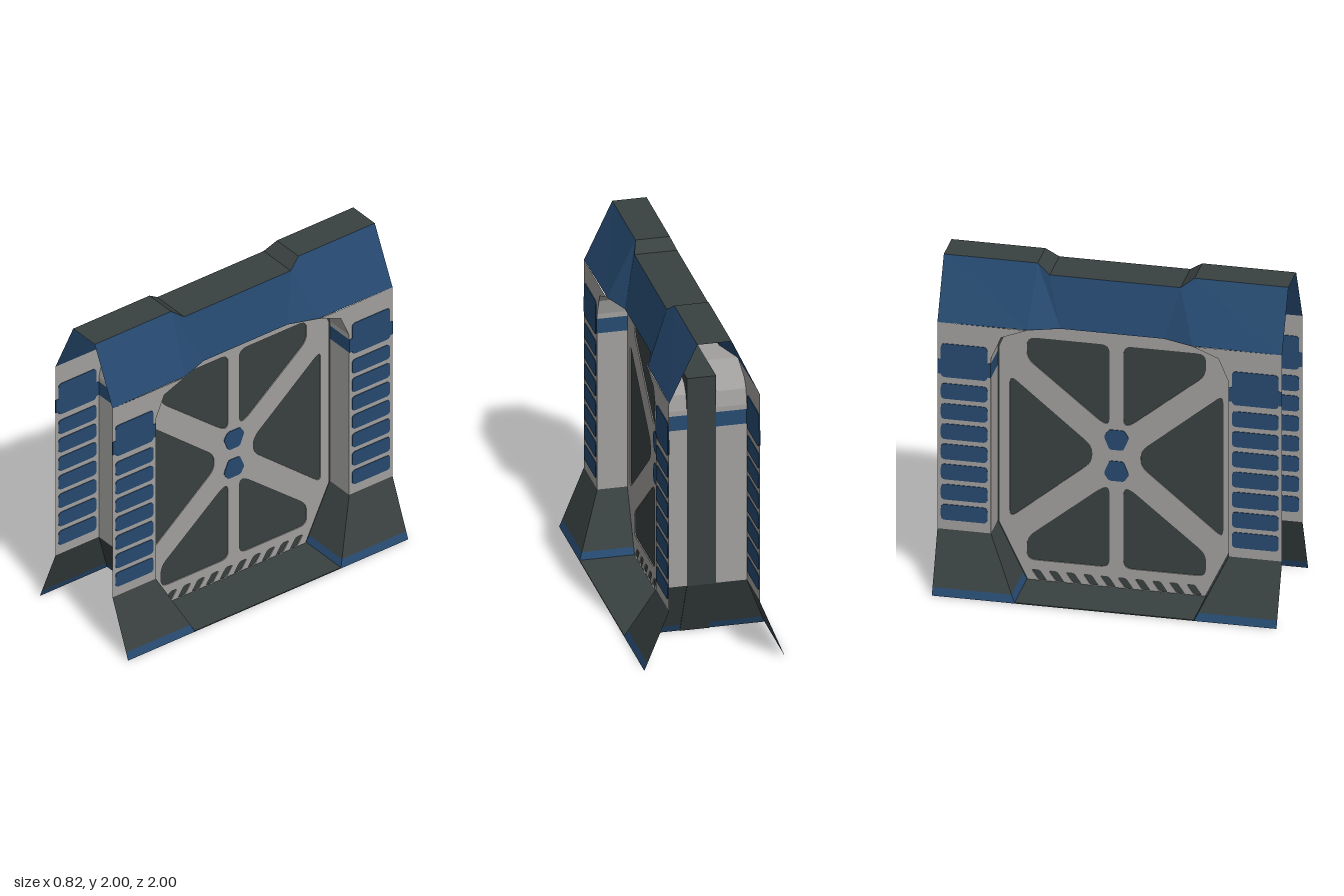
import * as THREE from 'three';

const mat = (name, color) => {
  const m = new THREE.MeshStandardMaterial({ color, side: THREE.DoubleSide, flatShading: true });
  m.name = name;
  return m;
};

// Closed outline with rounded corners
function outline(points, r = 0, PathType = THREE.Shape) {
  const path = new PathType();
  const v = points.map(([x, y]) => new THREE.Vector2(x, y));
  v.forEach((p, i) => {
    const before = v[(i + v.length - 1) % v.length], after = v[(i + 1) % v.length];
    const toward = (q) => p.clone().add(q.clone().sub(p).setLength(Math.min(r, p.distanceTo(q) * 0.45)));
    const a = r ? toward(before) : p, b = r ? toward(after) : p;
    if (i === 0) path.moveTo(a.x, a.y); else path.lineTo(a.x, a.y);
    if (r) path.quadraticCurveTo(p.x, p.y, b.x, b.y);
  });
  path.closePath();
  return path;
}

// Flat plate drawn in (z, y), with its outer face at the given x
function sidePlate(shape, x, depth) {
  const g = new THREE.ExtrudeGeometry(shape, { depth, bevelEnabled: false, curveSegments: 4 });
  return g.rotateY(-Math.PI / 2).translate(x, 0, 0);
}

// Faceted sheet between two rows of points
function sheet(a, b) {
  const pos = [];
  for (let i = 0; i < a.length - 1; i++) {
    for (const p of [a[i], b[i], b[i + 1], a[i], b[i + 1], a[i + 1]]) pos.push(...p);
  }
  const g = new THREE.BufferGeometry();
  g.setAttribute('position', new THREE.Float32BufferAttribute(pos, 3));
  g.computeVertexNormals();
  return g;
}

const mirrorZ = (pts) => [...pts, ...pts.slice().reverse().map(([z, y]) => [-z, y])];

export function createModel() {
  const grey = mat('lightGrey', 0xa09f9d);
  const dark = mat('darkGrey', 0x394040);
  const blue = mat('navyBlue', 0x26496f);
  const model = new THREE.Group();
  model.name = 'barrierGate';

  const add = (parent, name, geometry, material) => {
    const mesh = new THREE.Mesh(geometry, material);
    mesh.name = name;
    parent.add(mesh);
    return mesh;
  };

  const W = 0.265, IN = 0.085, Z = 0.69, TOP = 1.65, FOOT = 0.355;

  // Dark core slab and ground plate
  const core = outline(mirrorZ([[0.525, 0], [0.695, FOOT], [0.695, TOP]]));
  add(model, 'coreSlab', sidePlate(core, IN, IN * 2), dark);
  add(model, 'groundPlate', new THREE.BoxGeometry(0.82, 0.006, 1.04).translate(0, 0.003, 0), dark);

  // Braced face panel on each side of the core
  function facePanel() {
    const side = new THREE.Group();
    const shape = outline(mirrorZ([[0.51, 0], [0.68, FOOT], [0.68, 1.45], [0.62, 1.59], [0.48, TOP]]));
    const openings = [
      [[0.04, 1.525], [0.52, 1.525], [0.52, 1.39], [0.08, 1.03], [0.04, 1.03]],
      [[0.62, 1.28], [0.14, 0.88], [0.14, 0.78], [0.62, 0.38]],
      [[0.04, 0.13], [0.52, 0.13], [0.52, 0.27], [0.08, 0.63], [0.04, 0.63]],
    ];
    for (const s of [1, -1]) {
      for (const o of openings) shape.holes.push(outline(o.map(([z, y]) => [z * s, y]), 0.05, THREE.Path));
    }
    // Slanted slots along the sill
    for (let i = 0; i < 10; i++) {
      const c = -0.45 + i * 0.1;
      const slot = [[c, 0.006], [c + 0.05, 0.006], [c + 0.005, 0.072], [c - 0.045, 0.072]];
      shape.holes.push(outline(slot, 0.015, THREE.Path));
    }
    add(side, 'bracedPanel', sidePlate(shape, IN + 0.006, 0.006), grey);

    // Pair of blue hub markers
    const hub = [[0.045, 0.125], [0.073, 0.08], [0.04, 0], [-0.04, 0], [-0.073, 0.08], [-0.045, 0.125]];
    const hubs = [hub.map(([z, y]) => [z, y + 0.87]), hub.map(([z, y]) => [z, 0.8 - y])];
    for (const h of hubs) add(side, 'hubMarker', sidePlate(outline(h, 0.015), IN + 0.01, 0.004), blue);
    return side;
  }

  // One quarter: pillar plate, grille, arch wall and flared foot
  function pillar() {
    const q = new THREE.Group();
    const plate = outline([[1, FOOT], [1, TOP], [0.48, TOP], [0.63, 1.59], [Z, 1.45], [Z, FOOT]]);
    add(q, 'pillarPlate', new THREE.ShapeGeometry(plate).rotateY(-Math.PI / 2).translate(W, 0, 0), grey);

    // Grille shows on both faces of the plate
    const slats = [[1.31, 1.52]];
    for (let i = 0; i < 7; i++) slats.push([0.415 + i * 0.1265, 0.512 + i * 0.1265]);
    for (const [y0, y1] of slats) {
      const s = outline([[0.71, y0], [0.98, y0], [0.98, y1], [0.71, y1]], 0.025);
      add(q, 'grilleSlat', sidePlate(s, W + 0.004, 0.008), blue);
    }
    add(q, 'plateBand', new THREE.BoxGeometry(0.006, 0.09, 0.31).translate(W, 1.375, 0.845), blue);

    // Arch wall between plate and core, split by a blue band
    const wall = (name, pts, m) =>
      add(q, name, sheet(pts.map(([z, y]) => [IN, y, z]), pts.map(([z, y, x = W]) => [x, y, z])), m);
    wall('archWallLower', [[Z, FOOT], [Z, 1.33]], grey);
    wall('archWallBand', [[Z, 1.33], [Z, 1.42]], blue);
    wall('archWallUpper', [[Z, 1.42], [Z, 1.45], [0.67, 1.54], [0.63, 1.59], [0.48, TOP], [0.3, TOP, 0.2], [0, TOP, 0.2]], grey);

    // Foot flares outward in x and inward in z
    const footRow = (y) => {
      const t = 1 - y / FOOT;
      const x = THREE.MathUtils.lerp(W, 0.41, t), z = THREE.MathUtils.lerp(Z, 0.52, t);
      return [[x, y, 1], [x, y, z], [IN, y, z]];
    };
    add(q, 'foot', sheet(footRow(FOOT), footRow(0.045)), dark);
    add(q, 'footTrim', sheet(footRow(0.045), footRow(0)), blue);
    return q;
  }

  for (const sx of [1, -1]) {
    const panel = facePanel();
    panel.name = sx > 0 ? 'leftFacePanel' : 'rightFacePanel';
    panel.scale.x = sx;
    model.add(panel);
    for (const sz of [1, -1]) {
      const p = pillar();
      p.name = (sz > 0 ? 'front' : 'back') + (sx > 0 ? 'Left' : 'Right') + 'Pillar';
      p.scale.set(sx, 1, sz);
      model.add(p);
    }
  }

  // Open-ended roof with a pinched, lowered middle
  const mirrorRow = (row) => [...row, ...row.slice().reverse().map(([x, y, z]) => [x, y, -z])];
  const eave = mirrorRow([[W, TOP, 1], [0.26, TOP, 0.48], [0.2, TOP, 0.3]]);
  const ridge = mirrorRow([[0.1, 2, 1], [0.1, 2, 0.455], [0.125, 1.945, 0.38]]);
  const flip = (row) => row.map(([x, y, z]) => [-x, y, z]);
  add(model, 'leftRoofSlope', sheet(ridge, eave), blue);
  add(model, 'rightRoofSlope', sheet(flip(eave), flip(ridge)), blue);
  add(model, 'roofTop', sheet(flip(ridge), ridge), dark);

  return model;
}
